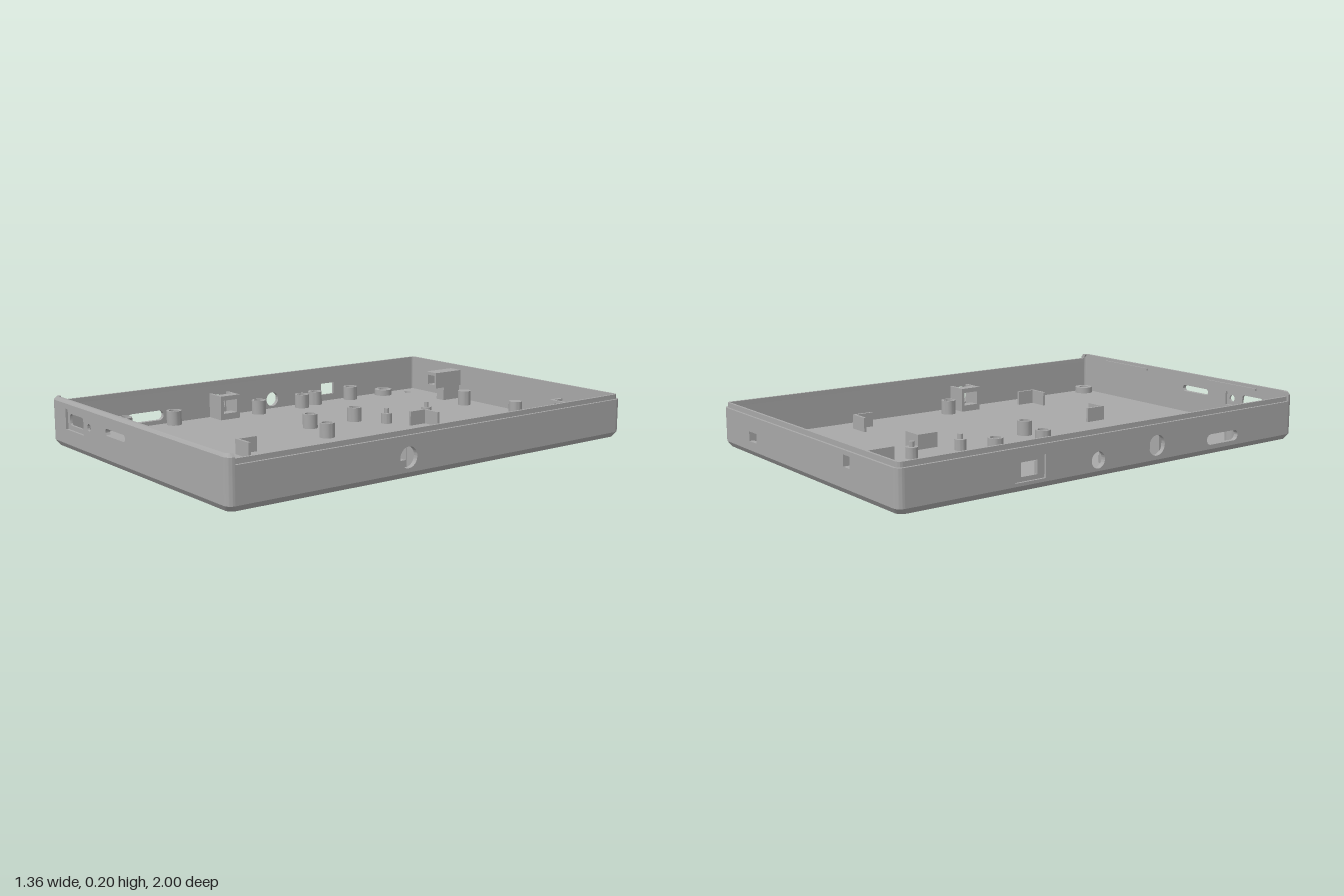
import * as THREE from 'three';
import { toCreasedNormals } from 'three/addons/utils/BufferGeometryUtils.js';

const HX = 0.68, HZ = 1, R = 0.03, T = 0.02;      // half sizes, corner radius, wall thickness
const FLOOR = 0.022, WALL = 0.165, LIP = 0.185, FRONT = 0.205;
const SCREWS = [[-0.615, -0.745], [0.61, -0.745], [-0.615, 0.925], [0.61, 0.925]];

export function createModel() {
  const group = new THREE.Group();
  const grey = new THREE.MeshStandardMaterial({ color: 0xa8a8a8 });
  grey.name = 'grey plastic';

  const add = (name, geo) => {
    const mesh = new THREE.Mesh(toCreasedNormals(geo, 0.6), grey);
    mesh.name = name;
    group.add(mesh);
    return mesh;
  };
  // Axis-aligned box given by its limits
  const box = (name, x0, x1, y0, y1, z0, z1) =>
    add(name, new THREE.BoxGeometry(x1 - x0, y1 - y0, z1 - z0)
      .translate((x0 + x1) / 2, (y0 + y1) / 2, (z0 + z1) / 2));
  // Rounded rectangle outline, centred on (cx, cy)
  const rounded = (cx, cy, w, h, r, Type = THREE.Shape) => {
    const p = new Type(), a = w / 2 - r, b = h / 2 - r;
    if (r < 0.001) {
      p.moveTo(cx - a, cy - b); p.lineTo(cx + a, cy - b);
      p.lineTo(cx + a, cy + b); p.lineTo(cx - a, cy + b);
    } else {
      p.absarc(cx + a, cy + b, r, 0, Math.PI / 2);
      p.absarc(cx - a, cy + b, r, Math.PI / 2, Math.PI);
      p.absarc(cx - a, cy - b, r, Math.PI, Math.PI * 1.5);
      p.absarc(cx + a, cy - b, r, Math.PI * 1.5, Math.PI * 2);
    }
    p.closePath();
    return p;
  };
  const extrude = (shape, depth) =>
    new THREE.ExtrudeGeometry(shape, { depth, bevelEnabled: false, curveSegments: 8 });
  // Plan outline (x, z) raised from y0 to y1
  const slab = (shape, y0, y1) =>
    extrude(shape, y1 - y0).rotateX(Math.PI / 2).translate(0, y1, 0);
  // Move each vertex by a rule
  const bend = (geo, rule) => {
    const p = geo.attributes.position, v = new THREE.Vector3();
    for (let i = 0; i < p.count; i++) {
      rule(v.fromBufferAttribute(p, i));
      p.setXYZ(i, v.x, v.y, v.z);
    }
    return geo;
  };

  // Floor: chamfered bottom edge, countersunk screw holes and two small holes
  const floor = rounded(0, 0, HX * 2, HZ * 2, R);
  for (const [x, z] of SCREWS) floor.holes.push(rounded(x, z, 0.044, 0.044, 0.022, THREE.Path));
  for (const x of [-0.59, 0.58]) floor.holes.push(rounded(x, -0.885, 0.032, 0.032, 0.016, THREE.Path));
  add('floor', bend(slab(floor, 0, FLOOR), v => {
    if (v.y > 0.001) return;
    if (HX - Math.abs(v.x) < 0.0301 || HZ - Math.abs(v.z) < 0.0301) {
      v.x *= 1 - 0.014 / HX;
      v.z *= 1 - 0.014 / HZ;
    }
    for (const [x, z] of SCREWS) {
      if (Math.hypot(v.x - x, v.z - z) < 0.03) {
        v.x = x + (v.x - x) * 1.6;
        v.z = z + (v.z - z) * 1.6;
      }
    }
  }));

  // Wall layers; each hole is [u, y, width, height, radius]
  const panel = (half, top, holes) => {
    const h = top - FLOOR;
    const s = rounded(0, FLOOR + h / 2, half * 2, h, 0);
    for (const a of holes) s.holes.push(rounded(...a, THREE.Path));
    return extrude(s, T / 2);
  };
  const slot = [-0.12, 0.132, 0.16, 0.028, 0.0135];
  const port = [-0.47, 0.127, 0.12, 0.048, 0.014];
  add('frontWallOuter', panel(HX - R, 0.192, [[-0.47, 0.127, 0.16, 0.086, 0], slot,
    [-0.34, 0.125, 0.03, 0.03, 0.0149]]).translate(0, 0, HZ - T / 2));
  add('frontWallInner', panel(HX - R, 0.192, [port, slot,
    [-0.34, 0.125, 0.06, 0.06, 0]]).translate(0, 0, HZ - T));
  const backHoles = [[-0.34, 0.125, 0.045, 0.045, 0], [0.41, 0.08, 0.065, 0.04, 0]];
  add('backWallOuter', panel(HX - R, WALL, backHoles).translate(0, 0, -HZ));
  add('backWallInner', panel(HX - R, WALL, backHoles).translate(0, 0, -HZ + T / 2));
  const round = [-0.2, 0.08, 0.084, 0.084, 0.0419];
  const leftHoles = [round, [0.105, 0.065, 0.066, 0.066, 0.0329], [-0.57, 0.062, 0.18, 0.044, 0.0219]];
  const side = (name, x, holes) =>
    add(name, panel(HZ - R, WALL, holes).rotateY(Math.PI / 2).translate(x, 0, 0));
  side('roundHoleWallOuter', HX - T / 2, [round]);
  side('roundHoleWallInner', HX - T, [round]);
  side('portWallOuter', -HX, [...leftHoles, [0.43, 0.08, 0.14, 0.09, 0]]);
  side('portWallInner', -HX + T / 2, [...leftHoles, [0.43, 0.08, 0.075, 0.055, 0]]);

  // Rounded wall corners
  for (const sx of [-1, 1]) for (const sz of [-1, 1]) {
    const start = Math.atan2(sz, sx) - Math.PI / 4;
    const cx = sx * (HX - R), cz = sz * (HZ - R), s = new THREE.Shape();
    s.absarc(cx, cz, R, start, start + Math.PI / 2, false);
    s.absarc(cx, cz, R - T, start + Math.PI / 2, start, true);
    s.closePath();
    add('wallCorner', slab(s, FLOOR, sz > 0 ? 0.192 : WALL));
  }

  // Stepped inner lip around the top edge
  const lip = rounded(0, 0, HX * 2 - T, HZ * 2 - T, R - T / 2);
  lip.holes.push(rounded(0, 0, HX * 2 - T * 2, HZ * 2 - T * 2, R - T, THREE.Path));
  add('rimLip', slab(lip, WALL, LIP));

  // Raised front rim with a chamfered top, and two snap ridges behind it
  const rim = new THREE.Shape();
  rim.moveTo(-HX + T, HZ - R);
  rim.lineTo(HX, HZ - R);
  rim.absarc(HX - R, HZ - R, R, 0, Math.PI / 2);
  rim.absarc(-HX + R, HZ - R, R, Math.PI / 2, Math.PI);
  rim.lineTo(-HX + T, HZ - R);
  rim.lineTo(-HX + T, HZ - T);
  rim.lineTo(HX - T, HZ - T);
  rim.lineTo(HX - T, HZ - R);
  // trace the band as one simple outline
  const band = new THREE.Shape();
  band.moveTo(HX, HZ - R);
  band.absarc(HX - R, HZ - R, R, 0, Math.PI / 2);
  band.absarc(-HX + R, HZ - R, R, Math.PI / 2, Math.PI);
  band.lineTo(-HX + T, HZ - R);
  band.lineTo(-HX + T, HZ - T);
  band.lineTo(HX - T, HZ - T);
  band.lineTo(HX - T, HZ - R);
  band.closePath();
  add('frontRim', bend(slab(band, 0.192, FRONT), v => {
    if (v.y > 0.2) { v.x *= 0.985; if (v.z > HZ - T + 0.001) v.z -= 0.008; }
  }));
  for (const [a, b] of [[-0.49, -0.19], [0.2, 0.5]]) box('snapRidge', a, b, 0.182, 0.192, 0.972, 0.982);

  // Turned posts; profile runs up the outside and down the bore
  const turned = (name, x, z, pts) =>
    add(name, new THREE.LatheGeometry(pts.map(p => new THREE.Vector2(...p)), 24).translate(x, 0, z));
  const F = FLOOR - 0.002;
  for (const [x, z] of [[-0.62, -0.54], [-0.62, -0.325], [-0.595, -0.23], [-0.595, 0.015], [-0.195, -0.23],
    [-0.195, 0.015], [0, 0.07], [0.575, 0.07], [-0.62, 0.45], [-0.62, 0.695]])
    turned('hollowPost', x, z, [[0.033, F], [0.033, 0.085], [0.023, 0.085], [0.023, 0.03], [0, 0.03]]);
  for (const x of [-0.175, 0.165])
    turned('solidPost', x, -0.885, [[0.03, F], [0.03, 0.09], [0, 0.09]]);
  for (const z of [-0.55, -0.315])
    turned('steppedPin', -0.07, z, [[0.025, F], [0.025, 0.068], [0.011, 0.068], [0.011, 0.09], [0, 0.09]]);
  for (const [x, z] of SCREWS)
    turned('screwBoss', x, z, [[0.042, F], [0.042, 0.05], [0.022, 0.05], [0.022, F]]);

  // Four L-shaped corner guides
  for (const [x, sx] of [[0.03, 1], [0.55, -1]]) for (const [z, sz] of [[-0.455, 1], [0.55, -1]]) {
    const s = new THREE.Shape([[0, 0], [0.095, 0], [0.095, 0.012], [0.012, 0.012], [0.012, 0.095], [0, 0.095]]
      .map(([a, b]) => new THREE.Vector2(x + sx * a, z + sz * b)));
    add('cornerGuide', slab(s, F, 0.085));
  }

  // Side pockets behind the round holes: windowed plate and two cheeks
  for (const sx of [-1, 1]) {
    const plate = rounded(0, 0.075, 0.1, 0.11, 0);
    plate.holes.push(rounded(0, 0.08, 0.07, 0.06, 0, THREE.Path));
    add('pocketPlate', extrude(plate, 0.045).rotateY(Math.PI / 2)
      .translate(sx * 0.5875 - 0.0225, 0, 0.19));
    const [a, b] = sx > 0 ? [0.6, 0.662] : [-0.662, -0.6];
    for (const z of [0.14, 0.228]) box('pocketCheek', a, b, F, 0.13, z, z + 0.012);
  }

  // Square light tube at the back on a short leg
  const tube = rounded(-0.34, 0.125, 0.07, 0.075, 0);
  tube.holes.push(rounded(-0.34, 0.125, 0.045, 0.045, 0, THREE.Path));
  add('backTube', extrude(tube, 0.162).translate(0, 0, -0.982));
  box('tubeLeg', -0.365, -0.315, F, 0.088, -0.982, -0.88);

  // Back bracket: windowed plate with cheeks
  const frame = rounded(0.41, 0.07, 0.13, 0.1, 0);
  frame.holes.push(rounded(0.41, 0.085, 0.07, 0.045, 0, THREE.Path));
  add('bracketPlate', extrude(frame, 0.014).translate(0, 0, -0.93));
  for (const x of [0.345, 0.457]) box('bracketCheek', x, x + 0.018, F, 0.12, -0.982, -0.93);

  return group;
}
